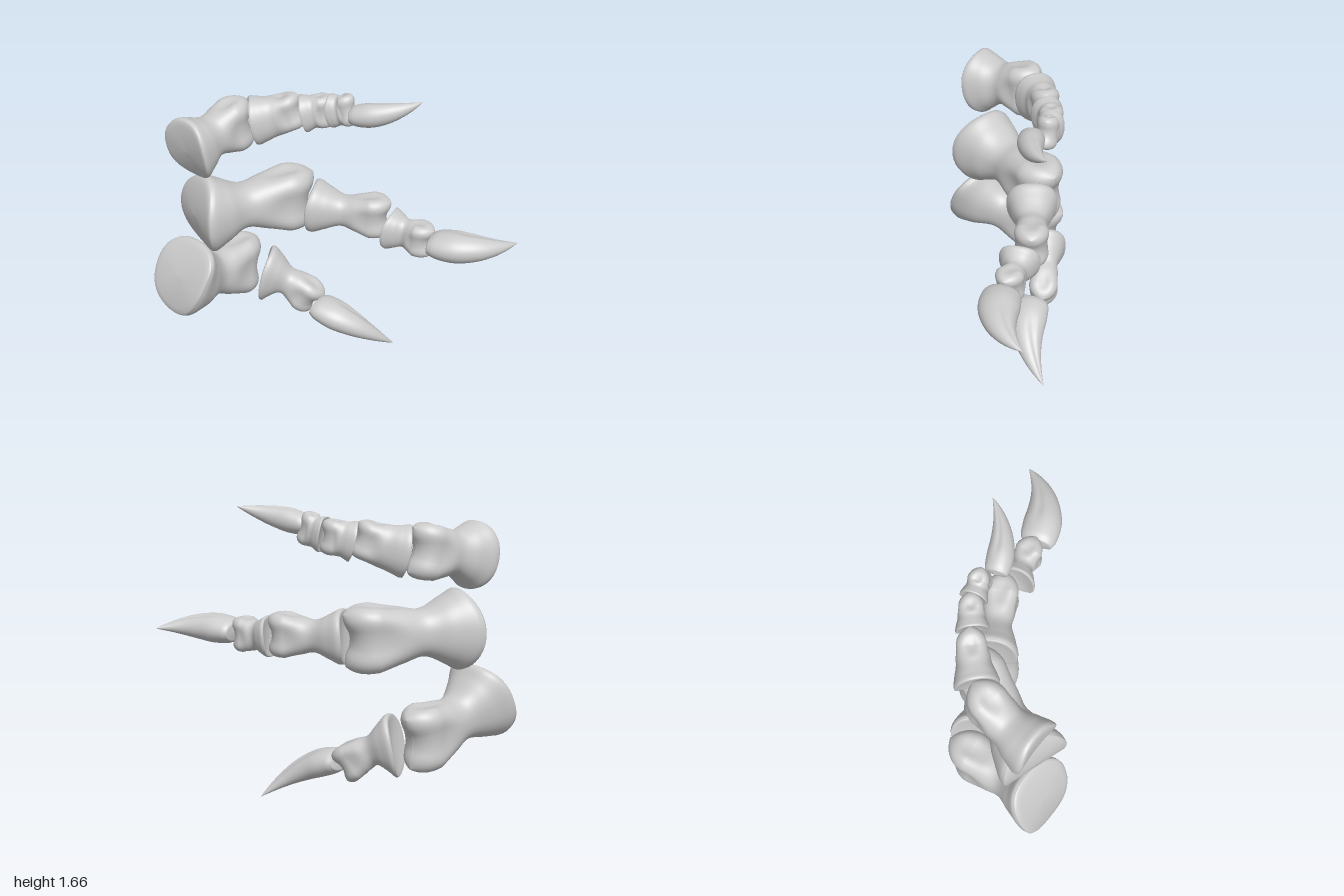
import * as THREE from 'three';

const V = (p) => new THREE.Vector3(...p);
const SIDES = 48;
const bump = (x) => Math.exp(-x * x);
const rounded = (x, e) => Math.sign(x) * Math.abs(x) ** e;

// Skins closed rings of points into a smooth surface
function skin(rows) {
  const index = [];
  for (let i = 0; i < rows.length - 1; i++) {
    for (let j = 0; j < SIDES; j++) {
      const a = i * SIDES + j, b = i * SIDES + (j + 1) % SIDES;
      index.push(a, a + SIDES, b, b, a + SIDES, b + SIDES);
    }
  }
  const geo = new THREE.BufferGeometry();
  geo.setAttribute('position', new THREE.Float32BufferAttribute(
    rows.flat().flatMap((p) => p.toArray()), 3));
  geo.setIndex(index);
  geo.computeVertexNormals();
  return geo;
}

// Frame on the path: along the bone, upward, and sideways
function frameAt(path, t) {
  const along = path.getTangent(t);
  const up = new THREE.Vector3(0, 1, 0).addScaledVector(along, -along.y).normalize();
  return { at: path.getPoint(t), along, up, side: along.clone().cross(up) };
}

// One ring; shape(cos, sin) returns [along, up, side] offsets
function ring(path, t, shape) {
  const f = frameAt(path, t), out = [];
  for (let j = 0; j < SIDES; j++) {
    const q = (j / SIDES) * Math.PI * 2;
    const [e, b, c] = shape(Math.cos(q), Math.sin(q));
    out.push(f.at.clone().addScaledVector(f.along, e)
      .addScaledVector(f.up, b).addScaledVector(f.side, c));
  }
  return out;
}

// Bone: flared joint face, narrow shaft, grooved two-lobed pulley at the far end.
// prox, mid and dist are [half height, half width]; dish is the depth of the
// joint face (negative domes it), lip draws its sides back over the joint,
// taper narrows one lower side of it
function bone({ path: [p, m, d], prox, mid, dist, dish = 0.12, lip = 0, taper = 0, square = 0.88 }) {
  const path = new THREE.QuadraticBezierCurve3(V(p), V(m), V(d));
  const [hd, wd] = dist, rows = [];
  const section = (t, h, w, e, rim) => {
    const far = THREE.MathUtils.smoothstep(t, 0.6, 1);
    const near = 1 - THREE.MathUtils.smoothstep(t, 0, 0.3);
    const power = THREE.MathUtils.lerp(0.86, square, near) - 0.1 * far;
    rows.push(ring(path, t, (cos, sin) => {
      const k = 1 - 0.22 * far * bump(sin * 2.4);
      const c = w * rounded(cos, power) * k * (1 + taper * near * sin * (1 + cos) / 2);
      // pits on the sides of the pulley
      const pit = 1 - 0.16 * far * bump(c / wd * 2.8) * bump(e / wd * 2.4);
      return [e * k - lip * near * rim * cos * cos, h * rounded(sin, power) * pit, c];
    }));
  };
  // joint face
  for (const [s, depth] of [[0, 1], [0.3, 0.92], [0.6, 0.64], [0.82, 0.3], [0.94, 0.08]])
    section(0, prox[0] * s, prox[1] * s, depth * dish * prox[1], s * s);
  // shaft
  const profile = new THREE.CatmullRomCurve3([
    [0.02, prox[0] * 0.99, prox[1] * 0.99],
    [0.08, prox[0], prox[1]],
    [0.23, prox[0] * 0.6 + mid[0] * 0.4, prox[1] * 0.6 + mid[1] * 0.4],
    [0.5, mid[0], mid[1]],
    [0.75, mid[0] * 0.55 + hd * 0.45, mid[1] * 0.55 + wd * 0.45],
    [1, hd, wd],
  ].map(V));
  for (let i = 0; i <= 40; i++) {
    const s = profile.getPoint(i / 40);
    section(Math.min(s.x, 1), s.y, s.z, 0, 1);
  }
  // rounded pulley end
  for (let i = 1; i <= 10; i++) {
    const a = (i / 10) * Math.PI / 2;
    section(1, hd * (1 - 0.26 * Math.sin(a) ** 3), wd * Math.cos(a), wd * Math.sin(a), 1);
  }
  return skin(rows);
}

// Claw: blunt base, curved blade with a groove on each flank, sharp tip
function claw({ path: [p, m, d], size: [h, w] }) {
  const path = new THREE.QuadraticBezierCurve3(V(p), V(m), V(d));
  const profile = new THREE.CatmullRomCurve3([
    [0, 0.66, 0.84], [0.08, 0.88, 0.97], [0.24, 1, 1], [0.45, 0.88, 0.82],
    [0.7, 0.55, 0.5], [0.9, 0.2, 0.19], [1, 0, 0],
  ].map(V));
  const rows = [0, 0.5, 0.85].map((s) => ring(path, 0, (cos, sin) =>
    [-0.01 * (1 - s), h * 0.66 * s * sin, w * 0.84 * s * cos]));
  for (let i = 0; i <= 48; i++) {
    const s = profile.getPoint(i / 48);
    const depth = 0.14 * THREE.MathUtils.smoothstep(s.x, 0.1, 0.4);
    rows.push(ring(path, Math.min(s.x, 1), (cos, sin) =>
      [0, h * s.y * sin * (1 - depth * bump((cos + 0.25) * 5)), w * s.z * cos]));
  }
  return skin(rows);
}

const FINGERS = {
  upperFinger: {
    bones: [
      { path: [[-0.735, 1.41, 0.195], [-0.685, 1.44, 0.05], [-0.615, 1.46, -0.075]],
        prox: [0.185, 0.16], mid: [0.12, 0.11], dist: [0.16, 0.125], dish: -0.2, lip: 0.045, square: 0.85 },
      { path: [[-0.525, 1.465, -0.165], [-0.43, 1.485, -0.215], [-0.35, 1.515, -0.25]],
        prox: [0.142, 0.12], mid: [0.12, 0.092], dist: [0.11, 0.092], lip: 0.02 },
      { path: [[-0.265, 1.51, -0.275], [-0.21, 1.525, -0.3], [-0.17, 1.53, -0.312]],
        prox: [0.11, 0.09], mid: [0.095, 0.072], dist: [0.1, 0.077], lip: 0.015 },
      { path: [[-0.105, 1.54, -0.32], [-0.05, 1.55, -0.32], [-0.02, 1.56, -0.317]],
        prox: [0.098, 0.075], mid: [0.085, 0.058], dist: [0.095, 0.068], lip: 0.015 },
    ],
    claw: { path: [[0.045, 1.57, -0.25], [0.27, 1.6, -0.25], [0.41, 1.66, -0.39]], size: [0.068, 0.072] },
  },
  middleFinger: {
    bones: [
      { path: [[-0.68, 1.0, 0.165], [-0.55, 1.0, 0.0], [-0.35, 0.985, -0.21]],
        prox: [0.225, 0.205], mid: [0.13, 0.125], dist: [0.195, 0.165], dish: -0.32, lip: 0.07, square: 0.95 },
      { path: [[-0.18, 0.97, -0.215], [0.0, 0.955, -0.25], [0.16, 0.95, -0.275]],
        prox: [0.152, 0.145], mid: [0.09, 0.085], dist: [0.132, 0.113], lip: 0.025 },
      { path: [[0.295, 0.915, -0.235], [0.39, 0.905, -0.235], [0.47, 0.9, -0.22]],
        prox: [0.118, 0.115], mid: [0.085, 0.065], dist: [0.105, 0.093], lip: 0.025 },
    ],
    claw: { path: [[0.56, 0.9, -0.2], [0.85, 0.91, -0.18], [1.0, 0.9, -0.39]], size: [0.085, 0.112] },
  },
  lowerFinger: {
    bones: [
      { path: [[-0.79, 0.6, 0.262], [-0.72, 0.505, 0.06], [-0.66, 0.473, -0.175]],
        prox: [0.23, 0.205], mid: [0.13, 0.12], dist: [0.192, 0.145], dish: -0.2, lip: 0.045, taper: 0.3, square: 0.84 },
      { path: [[-0.505, 0.41, -0.235], [-0.38, 0.385, -0.27], [-0.27, 0.297, -0.283]],
        prox: [0.175, 0.138], mid: [0.085, 0.08], dist: [0.113, 0.1], lip: 0.02 },
    ],
    claw: { path: [[-0.165, 0.262, -0.24], [0.1, 0.2, -0.2], [0.28, 0.005, -0.39]], size: [0.08, 0.11] },
  },
};

export function createModel() {
  const material = new THREE.MeshStandardMaterial({ color: 0xcccccc });
  const hand = new THREE.Group();
  hand.name = 'clawedHandBones';
  for (const [name, spec] of Object.entries(FINGERS)) {
    const finger = new THREE.Group();
    finger.name = name;
    const add = (part, geometry) => {
      const mesh = new THREE.Mesh(geometry, material);
      mesh.name = part;
      finger.add(mesh);
    };
    spec.bones.forEach((b, i) => add(i ? `fingerBone${i}` : 'palmBone', bone(b)));
    add('claw', claw(spec.claw));
    hand.add(finger);
  }
  return hand;
}
